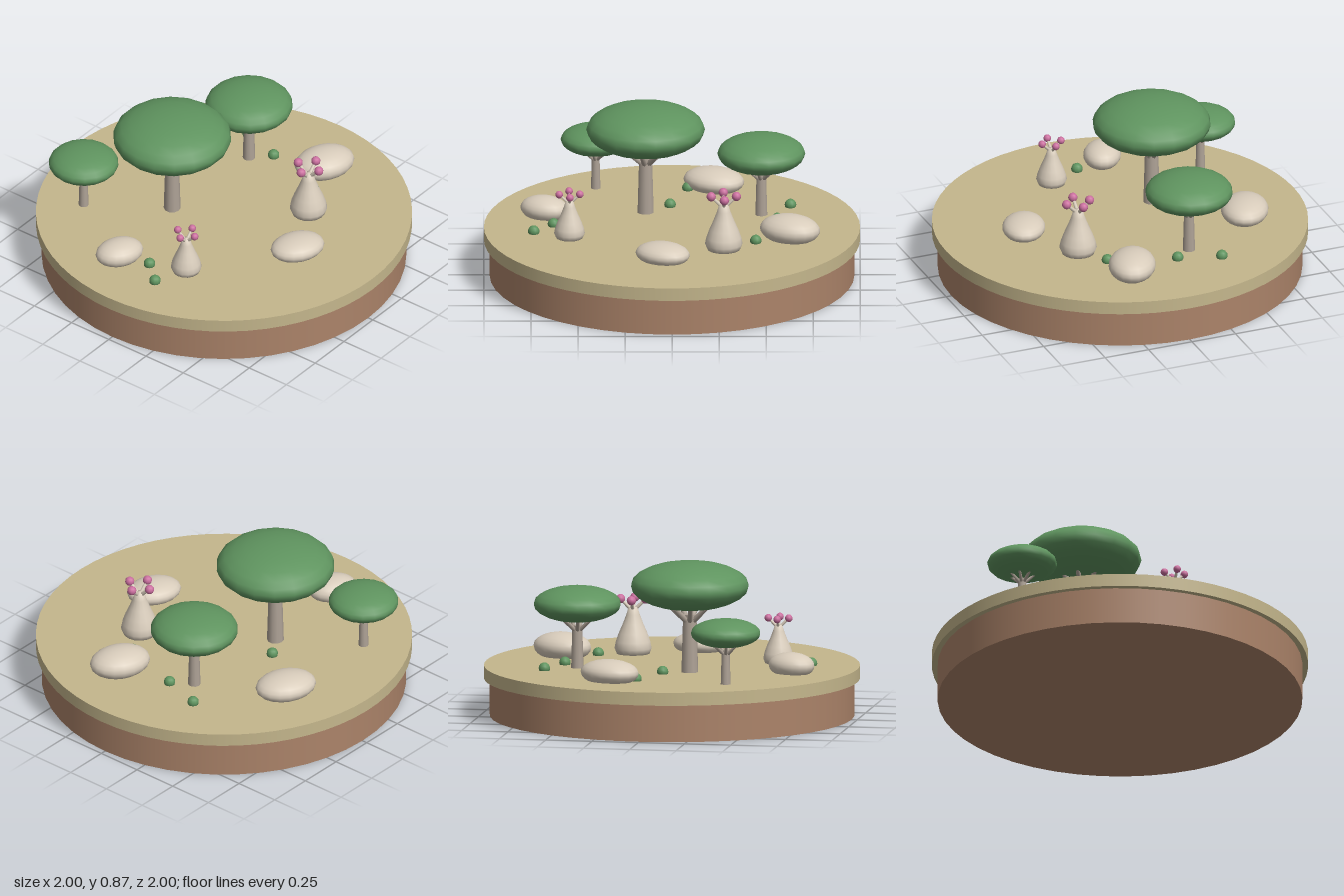
import * as THREE from 'three';

const mat = (name, color) => {
  const m = new THREE.MeshStandardMaterial({ color });
  m.name = name;
  return m;
};

export function createModel() {
  const model = new THREE.Group();
  model.name = 'islandGarden';
  const soil = mat('soilBrown', 0xab8369);
  const sand = mat('sand', 0xc4b68c);
  const bark = mat('bark', 0xaea296);
  const stone = mat('stone', 0xd8ccbb);
  const leaf = mat('leafGreen', 0x5f945f);
  const pink = mat('blossomPink', 0xcb6f9f);
  const GROUND = 0.27;

  const add = (parent, name, geometry, material, x = 0, y = 0, z = 0) => {
    const m = new THREE.Mesh(geometry, material);
    m.name = name;
    m.position.set(x, y, z);
    parent.add(m);
    return m;
  };
  const group = (name, x, z, scale = 1) => {
    const g = new THREE.Group();
    g.name = name;
    g.position.set(x, GROUND, z);
    g.scale.setScalar(scale);
    model.add(g);
    return g;
  };
  // Tapered rod between two points
  const rod = (parent, name, a, b, r0, r1, material) => {
    const dir = b.clone().sub(a);
    const m = add(parent, name, new THREE.CylinderGeometry(r1, r0, dir.length(), 7), material);
    m.position.copy(a).add(b).multiplyScalar(0.5);
    m.quaternion.setFromUnitVectors(new THREE.Vector3(0, 1, 0), dir.normalize());
  };
  const polar = (r, y, a) => new THREE.Vector3(r * Math.cos(a), y, r * Math.sin(a));

  // Round base: earth below, sand slab above
  add(model, 'earthBase', new THREE.CylinderGeometry(0.97, 0.97, 0.2, 48), soil, 0, 0.1, 0);
  add(model, 'sandTop', new THREE.CylinderGeometry(1, 1, 0.07, 64), sand, 0, 0.235, 0);

  // Umbrella trees: trunk, fanned branches, flattened canopy
  const canopy = new THREE.SphereGeometry(1, 18, 12);
  const trunk = new THREE.CylinderGeometry(0.036, 0.045, 0.31, 10);
  for (const [x, z, s] of [[-0.14, -0.24, 1], [0.475, -0.2, 0.74], [-0.405, -0.63, 0.59]]) {
    const tree = group('umbrellaTree', x, z, s);
    add(tree, 'trunk', trunk, bark, 0, 0.155, 0);
    for (let i = 0; i < 7; i++) {
      const a = (i / 7) * Math.PI * 2;
      rod(tree, 'branch', polar(0.015, 0.27, a), polar(0.15, 0.39, a), 0.016, 0.01, bark);
    }
    add(tree, 'canopy', canopy, leaf, 0, 0.465, 0).scale.set(0.316, 0.13, 0.316);
  }

  // Bottle trees: swollen trunk with four blossom-tipped twigs
  const bottle = new THREE.LatheGeometry(
    [[0, 0], [0.088, 0], [0.1, 0.03], [0.093, 0.065], [0.077, 0.11], [0.055, 0.16],
      [0.036, 0.21], [0.024, 0.25], [0, 0.255]].map(([r, y]) => new THREE.Vector2(r, y)), 16);
  const blossom = new THREE.SphereGeometry(0.025, 10, 8);
  for (const [x, z, s] of [[0.275, 0.355, 1], [-0.545, 0.168, 0.82]]) {
    const tree = group('bottleTree', x, z, s);
    add(tree, 'swollenTrunk', bottle, stone);
    for (let i = 0; i < 4; i++) {
      const a = (i / 4) * Math.PI * 2 - 0.04;
      const tip = polar(0.067, 0.293, a);
      rod(tree, 'twig', polar(0.008, 0.235, a), tip, 0.011, 0.008, stone);
      add(tree, 'blossom', blossom, pink, tip.x, tip.y, tip.z);
    }
  }

  // Boulders: x, z, half length, half depth, half height, centre above ground
  const rock = new THREE.SphereGeometry(1, 18, 12);
  for (const [x, z, a, b, h, y] of [
    [-0.678, -0.178, 0.133, 0.101, 0.068, 0.043],
    [0.223, -0.625, 0.168, 0.127, 0.07, 0.045],
    [-0.05, 0.533, 0.15, 0.115, 0.061, 0.034],
    [0.627, 0.19, 0.167, 0.126, 0.078, 0.053],
  ]) {
    const m = add(model, 'boulder', rock, stone, x, GROUND + y, z);
    m.scale.set(a, h, b);
    m.rotation.y = -0.43;
  }

  // Small round shrubs
  const shrub = new THREE.SphereGeometry(0.031, 10, 8);
  for (const [x, z] of [[-0.735, 0.105], [-0.63, -0.013], [0.445, 0.257], [0.56, -0.1],
    [0.63, -0.325], [-0.01, -0.33], [0.085, -0.6]]) {
    add(model, 'shrub', shrub, leaf, x, GROUND + 0.012, z);
  }
  return model;
}
